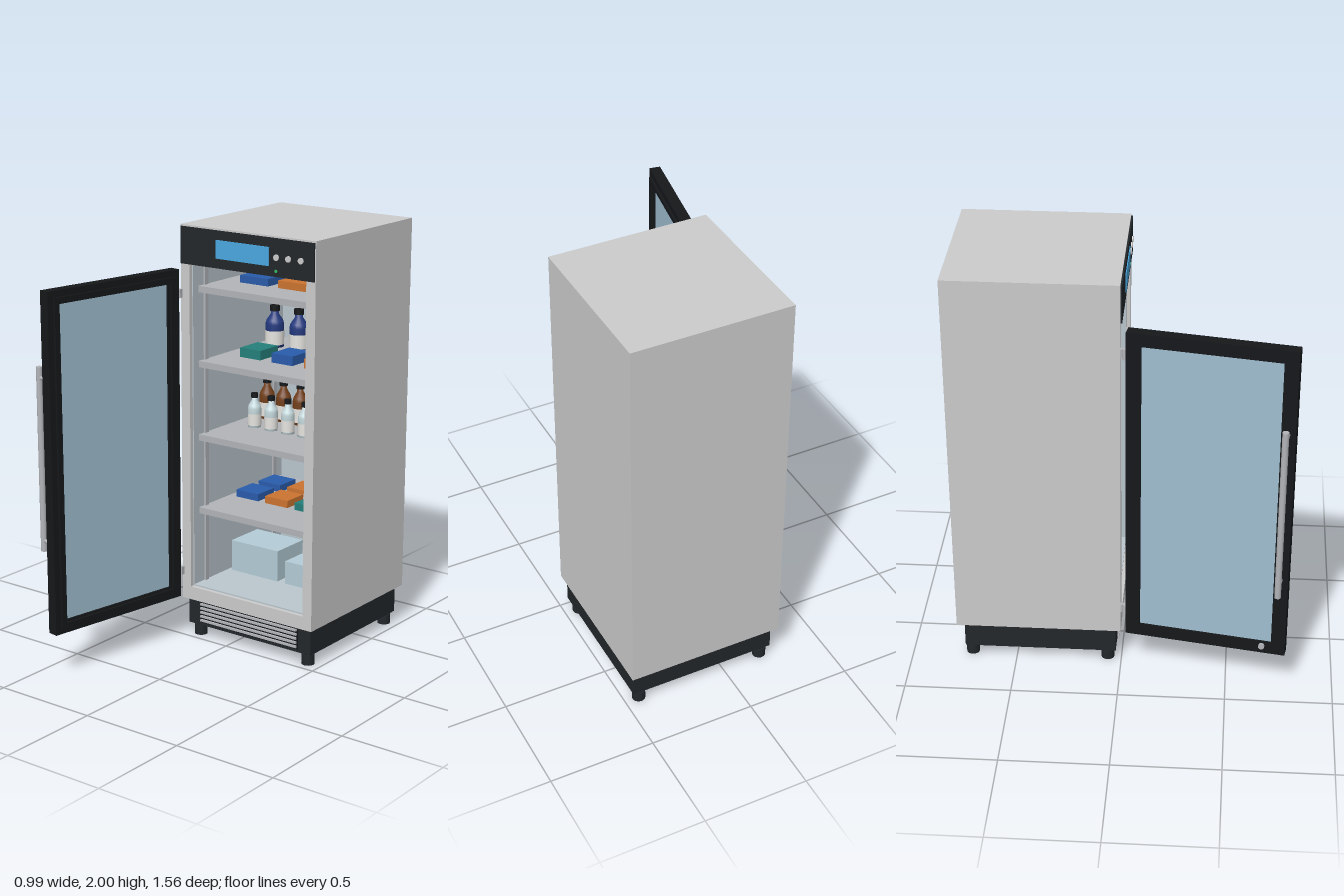
import * as THREE from 'three';

const paint = (color, side = THREE.FrontSide) => new THREE.MeshStandardMaterial({ color, side });
const GREY = paint(0xcccccc), DARK = paint(0x22272b), BLACK = paint(0x15171a), LINER = paint(0xbac6ce);
const STEEL = paint(0xb2b4b8), GLASS = paint(0xa0bed0), WHITE = paint(0xe6e4e0), VIAL = paint(0xc8dce0);
const AMBER = paint(0x74401a), COBALT = paint(0x243a80), BLUE = paint(0x2a5cab), ORANGE = paint(0xcc7430);
const TEAL = paint(0x257f7a), BIN = paint(0xb4ccd6), SCREEN = paint(0x4aa8e0), GREEN = paint(0x30c060);

function add(parent, name, geometry, material, x = 0, y = 0, z = 0) {
  const mesh = new THREE.Mesh(geometry, material);
  mesh.name = name;
  mesh.position.set(x, y, z);
  parent.add(mesh);
  return mesh;
}

// Box given by its extents on each axis
function box(parent, name, material, x0, x1, y0, y1, z0, z1) {
  return add(parent, name, new THREE.BoxGeometry(x1 - x0, y1 - y0, z1 - z0), material,
    (x0 + x1) / 2, (y0 + y1) / 2, (z0 + z1) / 2);
}

// Round bar along y, or along z when lying
function rod(parent, name, material, r, length, x, y, z, lying = false) {
  const mesh = add(parent, name, new THREE.CylinderGeometry(r, r, length, 20), material, x, y, z);
  if (lying) mesh.rotation.x = Math.PI / 2;
  return mesh;
}

// Rectangular frame with a rectangular hole, extruded from z0 to z1
function frame(parent, name, material, outer, inner, z0, z1) {
  const trace = (path, [x0, x1, y0, y1]) => {
    path.moveTo(x0, y0); path.lineTo(x1, y0); path.lineTo(x1, y1); path.lineTo(x0, y1); path.closePath();
    return path;
  };
  const shape = trace(new THREE.Shape(), outer);
  shape.holes.push(trace(new THREE.Path(), inner));
  const geometry = new THREE.ExtrudeGeometry(shape, { depth: z1 - z0, bevelEnabled: false });
  return add(parent, name, geometry, material, 0, 0, z0);
}

// Bottle with shoulder, neck, label and cap
function bottle(parent, name, material, r, h, x, y, z) {
  const g = new THREE.Group();
  g.name = name;
  g.position.set(x, y, z);
  const neck = r * 0.42;
  const profile = [[0, 0], [r, 0], [r, h * 0.55], [r * 0.9, h * 0.64], [neck, h * 0.8], [neck, h * 0.9], [0, h * 0.9]];
  add(g, 'bottleBody', new THREE.LatheGeometry(profile.map(p => new THREE.Vector2(...p)), 18), material);
  const label = new THREE.CylinderGeometry(r * 1.02, r * 1.02, h * 0.34, 18, 1, true);
  add(g, 'bottleLabel', label, WHITE, 0, h * 0.23, 0);
  rod(g, 'bottleCap', BLACK, neck * 1.25, h * 0.13, 0, h * 0.935, 0);
  parent.add(g);
}

function buildCabinet(root) {
  const g = new THREE.Group();
  g.name = 'cabinet';
  root.add(g);
  frame(g, 'cabinetShell', GREY, [-0.26, 0.49, 0.19, 2], [-0.21, 0.44, 0.255, 1.86], -0.74, 0);
  box(g, 'backPanel', GREY, -0.26, 0.49, 0.19, 2, -0.78, -0.74);
  // Inner lining
  box(g, 'backLining', LINER, -0.21, 0.44, 0.255, 1.86, -0.74, -0.73);
  box(g, 'floorLining', LINER, -0.21, 0.44, 0.255, 0.262, -0.73, -0.02);
  box(g, 'ceilingLining', LINER, -0.21, 0.44, 1.852, 1.86, -0.73, -0.02);
  for (const [x0, x1] of [[-0.21, -0.205], [0.435, 0.44]]) {
    box(g, 'sideLining', LINER, x0, x1, 0.26, 1.855, -0.73, -0.02);
  }
  // Shelf support posts
  for (const z of [-0.11, -0.66]) {
    for (const x of [-0.205, 0.425]) box(g, 'shelfPost', STEEL, x, x + 0.01, 0.262, 1.85, z - 0.012, z + 0.012);
  }
  // Control panel
  box(g, 'controlPanel', DARK, -0.255, 0.485, 1.82, 1.992, 0, 0.008);
  box(g, 'display', SCREEN, -0.05, 0.245, 1.865, 1.95, 0.008, 0.012);
  for (const x of [0.285, 0.35, 0.417]) rod(g, 'controlButton', GREY, 0.014, 0.008, x, 1.907, 0.011, true);
  rod(g, 'statusLight', GREEN, 0.007, 0.005, 0.283, 1.846, 0.009, true);
}

function buildBase(root) {
  const g = new THREE.Group();
  g.name = 'base';
  root.add(g);
  box(g, 'plinth', DARK, -0.24, 0.47, 0.06, 0.19, -0.745, -0.025);
  box(g, 'grilleRecess', BLACK, -0.17, 0.4, 0.075, 0.18, -0.03, -0.022);
  for (let i = 0; i < 5; i++) {
    const y = 0.088 + i * 0.0205;
    box(g, 'grilleSlat', STEEL, -0.165, 0.395, y - 0.005, y + 0.005, -0.024, -0.012);
  }
  for (const x of [-0.2, 0.43]) {
    for (const z of [-0.065, -0.715]) {
      rod(g, 'foot', DARK, 0.031, 0.05, x, 0.025, z);
      rod(g, 'footStem', BLACK, 0.024, 0.03, x, 0.055, z);
    }
  }
}

function buildShelves(root) {
  for (const y of [0.64, 1, 1.355, 1.71]) {
    const g = new THREE.Group();
    g.name = 'shelf';
    root.add(g);
    box(g, 'shelfPlate', STEEL, -0.205, 0.435, y - 0.014, y, -0.71, -0.07);
    box(g, 'shelfFrontRail', STEEL, -0.21, 0.44, y - 0.03, y, -0.08, -0.06);
    for (const x of [-0.195, -0.115, 0.02, 0.11, 0.25, 0.34, 0.425]) {
      box(g, 'shelfRib', STEEL, x - 0.003, x + 0.003, y - 0.04, y - 0.014, -0.69, -0.1);
    }
  }
}

function buildContents(root) {
  const g = new THREE.Group();
  g.name = 'contents';
  root.add(g);
  // Top shelf: alternating bottles behind two flat boxes
  for (let i = 0; i < 5; i++) {
    const odd = i % 2;
    bottle(g, odd ? 'amberBottle' : 'vial', odd ? AMBER : VIAL, odd ? 0.034 : 0.031, odd ? 0.19 : 0.165, -0.125 + i * 0.109, 1.71, -0.48);
  }
  box(g, 'carton', BLUE, -0.1, 0.06, 1.71, 1.745, -0.38, -0.24);
  box(g, 'carton', ORANGE, 0.115, 0.275, 1.71, 1.745, -0.38, -0.24);
  // Second shelf: large bottles and cartons
  for (let i = 0; i < 4; i++) bottle(g, 'cobaltBottle', COBALT, 0.045, 0.2, -0.102 + i * 0.141, 1.355, -0.52);
  [TEAL, BLUE, ORANGE].forEach((m, i) => {
    const x = -0.1 + i * 0.183;
    box(g, 'carton', m, x, x + 0.118, 1.355, 1.4, -0.38, -0.24);
  });
  // Third shelf: vials in front of amber bottles
  for (let i = 0; i < 6; i++) bottle(g, 'amberBottle', AMBER, 0.037, 0.2, -0.13 + i * 0.098, 1, -0.5);
  for (let i = 0; i < 5; i++) bottle(g, 'vial', VIAL, 0.032, 0.165, -0.08 + i * 0.097, 1, -0.33);
  // Fourth shelf: two rows of flat cartons
  for (const z of [-0.3, -0.48]) {
    [BLUE, ORANGE, TEAL].forEach((m, i) => {
      const x = -0.165 + i * 0.172;
      box(g, 'flatCarton', m, x, x + 0.13, 0.64, 0.675, z - 0.13, z);
    });
  }
  // Bottom: storage bins
  box(g, 'storageBin', BIN, -0.185, 0.09, 0.262, 0.415, -0.5, -0.29);
  box(g, 'storageBin', BIN, 0.135, 0.41, 0.262, 0.375, -0.5, -0.29);
}

function buildDoor(root) {
  // Local x runs from hinge to handle, local +z is the outer face
  const g = new THREE.Group();
  g.name = 'door';
  g.position.set(-0.295, 0, 0.025);
  g.rotation.y = THREE.MathUtils.degToRad(-100);
  root.add(g);
  const hole = [0.068, 0.69, 0.272, 1.735];
  frame(g, 'doorFrame', BLACK, [0, 0.755, 0.21, 1.797], hole, -0.052, 0);
  frame(g, 'doorGasket', BLACK, [0.03, 0.725, 0.24, 1.767], [0.055, 0.7, 0.262, 1.745], -0.063, -0.052);
  box(g, 'doorGlass', GLASS, 0.066, 0.692, 0.27, 1.737, -0.042, -0.01);
  // Handle and lock
  rod(g, 'handleBar', STEEL, 0.015, 0.86, 0.72, 1.01, 0.066);
  for (const y of [0.63, 1.39]) rod(g, 'handleMount', STEEL, 0.01, 0.066, 0.72, y, 0.033, true);
  rod(g, 'lock', STEEL, 0.014, 0.014, 0.647, 0.25, 0.006, true);
  // Hinges join the cabinet corner
  for (const y of [0.33, 1.68]) {
    rod(root, 'hingePin', STEEL, 0.013, 0.05, -0.27, y, 0.021);
    box(root, 'hingePlate', STEEL, -0.272, -0.25, y - 0.02, y + 0.02, 0, 0.018);
  }
}

export function createModel() {
  const root = new THREE.Group();
  root.name = 'displayRefrigerator';
  buildCabinet(root);
  buildBase(root);
  buildShelves(root);
  buildContents(root);
  buildDoor(root);
  return root;
}
